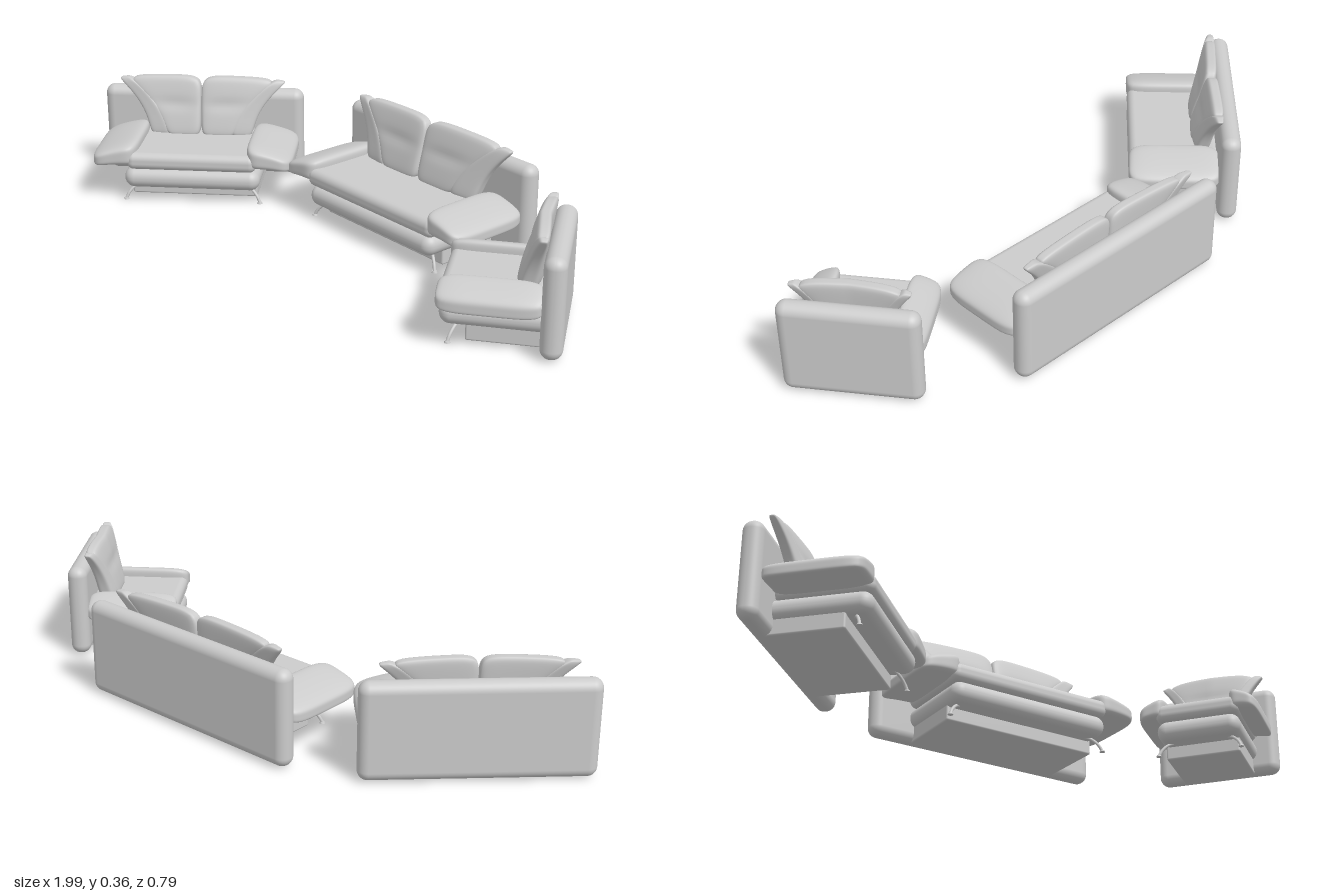
import * as THREE from 'three';
import { mergeVertices } from 'three/addons/utils/BufferGeometryUtils.js';
import { RoundedBoxGeometry } from 'three/addons/geometries/RoundedBoxGeometry.js';

const material = new THREE.MeshStandardMaterial({ color: 0xcccccc });
const lerp = THREE.MathUtils.lerp;

function add(parent, name, geometry, x = 0, y = 0, z = 0) {
  const mesh = new THREE.Mesh(geometry, material);
  mesh.name = name;
  mesh.position.set(x, y, z);
  parent.add(mesh);
  return mesh;
}

// Box given by its lower and upper limits, with rounded edges
function roundedBlock(parent, name, halfWidth, y0, y1, z0, z1, radius) {
  const g = new RoundedBoxGeometry(halfWidth * 2, y1 - y0, z1 - z0, 6, radius);
  add(parent, name, g, 0, (y0 + y1) / 2, (z0 + z1) / 2);
}

// Stuffed unit pillow (-1..1 on every axis) reshaped by a rule; side = -1 mirrors it
function pillow(parent, name, side, power, rule) {
  let g = new THREE.BoxGeometry(2, 2, 2, 18, 18, 12);
  g.deleteAttribute('uv');
  g.deleteAttribute('normal');
  g = mergeVertices(g, 1e-5);
  const p = g.attributes.position;
  for (let i = 0; i < p.count; i++) {
    const v = [p.getX(i), p.getY(i), p.getZ(i)];
    const n = Math.pow(v.reduce((s, c) => s + Math.pow(Math.abs(c), power), 0), 1 / power);
    const [x, y, z] = rule((side * v[0]) / n, v[1] / n, v[2] / n);
    p.setXYZ(i, side * x, y, z);
  }
  g.computeVertexNormals();
  return add(parent, name, g);
}

// One seat: half widths of the back panel, seat, base roll and cushion top
function seating({ name, panel, seat, roll, top, split }) {
  const group = new THREE.Group();
  group.name = name;

  roundedBlock(group, 'backPanel', panel, 0.003, 0.306, -0.032, 0.032, 0.031);
  roundedBlock(group, 'plinth', roll - 0.015, 0.004, 0.07, 0.0, 0.24, 0.006);
  roundedBlock(group, 'baseRoll', roll, 0.047, 0.115, 0.0, 0.316, 0.033);
  roundedBlock(group, 'seatCushion', seat + 0.025, 0.113, 0.171, 0.02, 0.317, 0.024);

  // Outline of the back cushions, flaring out towards the top
  const bottom = seat - 0.013;
  const outer = t => lerp(bottom, top, Math.pow(t, 1.9));
  const seam = t => outer(t) - lerp(0.4 * bottom, 0.14 * top, t);
  const place = (x, t, z, bulge) => {
    const reach = Math.abs(x) / top;
    const depth = lerp(0.038, 0.02, t) * bulge;
    return [
      x,
      lerp(0.16, 0.358, t) - 0.016 * Math.pow(reach, 3) * t,
      lerp(0.08, 0.046, t) + z * depth - 0.012 * reach * t,
    ];
  };

  for (const side of [1, -1]) {
    // Middle panel of the back cushion, with a shallow crease across it
    if (split || side === 1) {
      pillow(group, 'backCushion', side, 6, (x, y, z) => {
        const t = (y + 1) / 2;
        const u = (x + 1) / 2;
        const edge = seam(t) + 0.012;
        const px = split ? lerp(0.001, edge, u) : x * edge;
        const v = place(px, t, z, 1);
        if (z > 0) v[2] -= 0.005 * Math.exp(-Math.pow((t - 0.55) / 0.1, 2)) * (1 - x * x);
        return v;
      });
    }

    // Flared wing on the outer end of the cushion
    pillow(group, 'backWing', side, 5, (x, y, z) => {
      const t = (y + 1) / 2;
      const u = (x + 1) / 2;
      return place(lerp(seam(t) - 0.008, outer(t), u), t, z, lerp(1.02, 0.6, u));
    });

    // Armrest, thick beside the seat and tapering down to its outer edge
    pillow(group, 'armrest', side, 5, (x, y, z) => {
      const u = (x + 1) / 2;
      const mid = lerp(0.162, 0.137, u * u);
      return [
        lerp(seat - 0.01, panel - 0.008, u),
        mid + y * lerp(0.042, 0.023, u),
        0.172 + z * 0.147,
      ];
    });

    // Curved front leg with a small foot
    const path = new THREE.CatmullRomCurve3([
      [roll - 0.06, 0.055, 0.25],
      [roll - 0.03, 0.043, 0.268],
      [roll - 0.01, 0.022, 0.28],
      [roll - 0.001, 0.003, 0.286],
    ].map(([x, y, z]) => new THREE.Vector3(side * x, y, z)));
    add(group, 'frontLeg', new THREE.TubeGeometry(path, 16, 0.005, 10));
    add(group, 'foot', new THREE.CylinderGeometry(0.007, 0.009, 0.005, 16),
      side * (roll - 0.001), 0.0025, 0.286);
  }
  return group;
}

export function createModel() {
  const model = new THREE.Group();
  model.name = 'sofaSet';
  const pieces = [
    { name: 'largeSofa', panel: 0.411, seat: 0.263, roll: 0.283, top: 0.354, split: true, at: [0.09, -0.367], turn: 0 },
    { name: 'smallSofa', panel: 0.341, seat: 0.19, roll: 0.225, top: 0.292, split: true, at: [-0.745, -0.05], turn: 44.5 },
    { name: 'armchair', panel: 0.204, seat: 0.113, roll: 0.136, top: 0.18, split: false, at: [0.86, -0.083], turn: -52.6 },
  ];
  for (const piece of pieces) {
    const group = seating(piece);
    group.position.set(piece.at[0], 0, piece.at[1]);
    group.rotation.y = THREE.MathUtils.degToRad(piece.turn);
    model.add(group);
  }
  return model;
}
